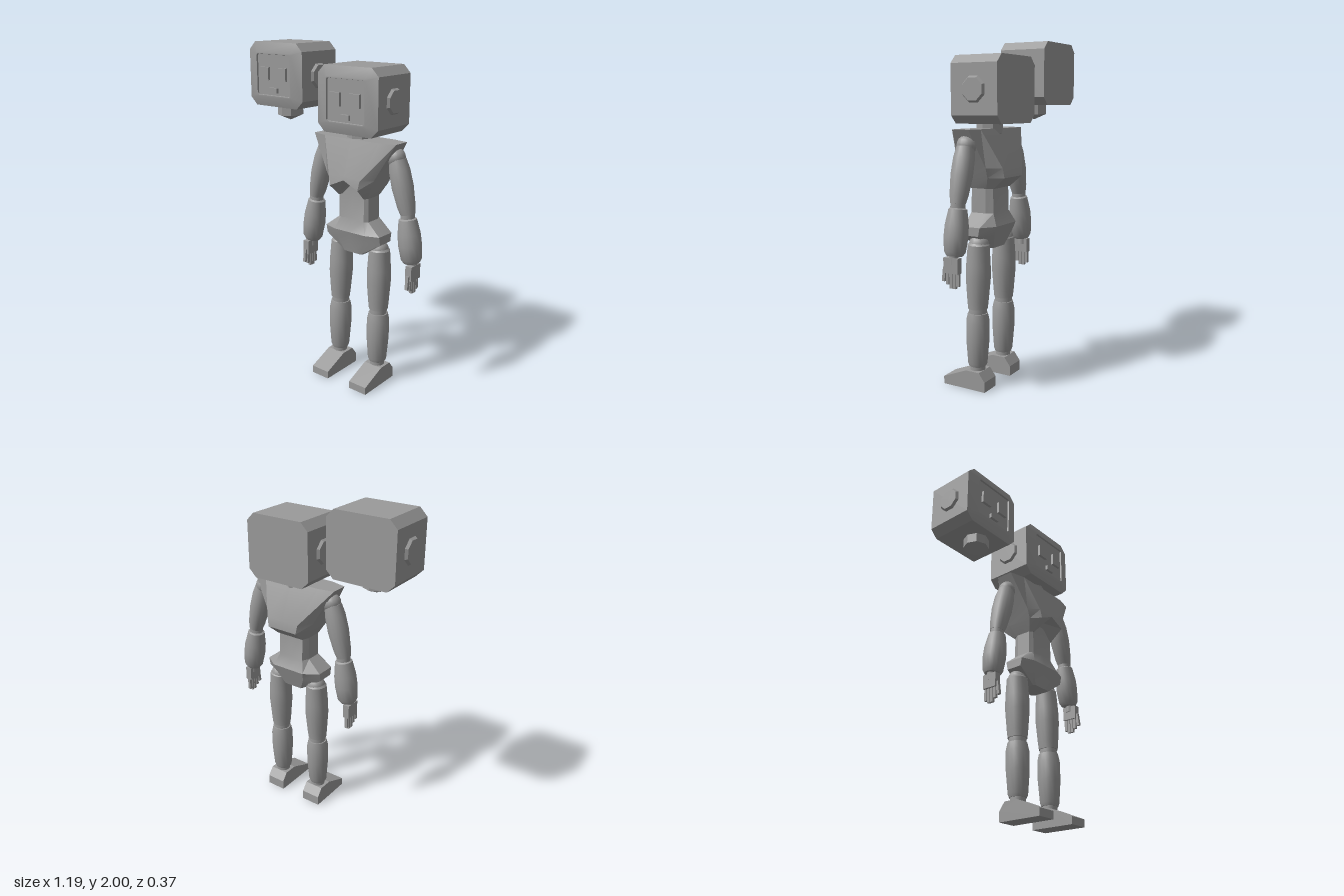
import * as THREE from 'three';
import { toCreasedNormals } from 'three/addons/utils/BufferGeometryUtils.js';

const grey = new THREE.MeshStandardMaterial({ color: 0x9a9a9a });
grey.name = 'grey';

function add(parent, name, geometry, x = 0, y = 0, z = 0) {
  const mesh = new THREE.Mesh(geometry, grey);
  mesh.name = name;
  mesh.position.set(x, y, z);
  parent.add(mesh);
  return mesh;
}

// Skin a stack of equal-length rings and cap both ends.
function loft(rings, crease = 0.4) {
  const n = rings[0].length, pos = [], idx = [];
  rings.forEach(r => r.forEach(p => pos.push(...p)));
  for (let i = 0; i < rings.length - 1; i++) {
    for (let j = 0; j < n; j++) {
      const a = i * n + j, b = i * n + (j + 1) % n;
      idx.push(a, b, b + n, a, b + n, a + n);
    }
  }
  [0, rings.length - 1].forEach((k, end) => {
    const c = [0, 1, 2].map(d => rings[k].reduce((s, p) => s + p[d], 0) / n);
    const ci = pos.length / 3;
    pos.push(...c);
    for (let j = 0; j < n; j++) {
      const a = k * n + j, b = k * n + (j + 1) % n;
      if (end) idx.push(ci, a, b); else idx.push(ci, b, a);
    }
  });
  const g = new THREE.BufferGeometry();
  g.setAttribute('position', new THREE.Float32BufferAttribute(pos, 3));
  g.setIndex(idx);
  return toCreasedNormals(g, crease);
}

// Rectangle with cut corners, standing at depth z.
function cutRect(w, h, c, z) {
  return [[-w + c, -h], [w - c, -h], [w, -h + c], [w, h - c],
    [w - c, h], [-w + c, h], [-w, h - c], [-w, -h + c]].map(([x, y]) => [x, y, z]);
}

// Horizontal body section: half widths, front and back depth, side depth, lift of the front centre.
function section(y, w, wi, front, back, t, lift = 0) {
  return [[0, front, lift], [wi, front], [w, t], [w, -t], [wi, -back], [0, -back],
    [-wi, -back], [-w, -t], [-w, t], [-wi, front]].map(([x, z, l = 0]) => [x, y + l, z]);
}

// Round limb from bottom a to top b; profile is [radius, fraction of length].
function limb(parent, name, a, b, profile) {
  const from = new THREE.Vector3(...a), dir = new THREE.Vector3(...b).sub(from);
  const len = dir.length();
  const pts = profile.map(([r, f]) => new THREE.Vector2(r, f * len));
  const g = toCreasedNormals(new THREE.LatheGeometry(pts, 16), 0.6);
  const mesh = add(parent, name, g, ...a);
  mesh.quaternion.setFromUnitVectors(new THREE.Vector3(0, 1, 0), dir.normalize());
}

function makeHead(name) {
  const head = new THREE.Group();
  head.name = name;
  // casing with a slightly domed front and a shallow face recess
  add(head, 'headCasing', loft([
    cutRect(0.21, 0.187, 0.046, -0.185), cutRect(0.21, 0.187, 0.046, 0.112),
    cutRect(0.14, 0.128, 0.008, 0.134), cutRect(0.132, 0.12, 0.008, 0.134),
    cutRect(0.13, 0.118, 0.008, 0.124)]));
  for (const s of [-1, 1]) {
    add(head, 'eye', new THREE.BoxGeometry(0.07, 0.075, 0.018), s * 0.069, 0.007, 0.131);
    const ear = add(head, 'ear', new THREE.CylinderGeometry(0.066, 0.077, 0.016, 8).toNonIndexed(), s * 0.217, 0, -0.035);
    ear.geometry.rotateY(Math.PI / 8);
    ear.geometry.computeVertexNormals();
    ear.rotation.z = -s * Math.PI / 2;
  }
  add(head, 'mouth', new THREE.BoxGeometry(0.062, 0.03, 0.018), 0, -0.088, 0.131);
  // neck plug with a blunt point
  const plug = [[0, -0.277], [0.077, -0.245], [0.077, -0.18]].map(p => new THREE.Vector2(...p));
  add(head, 'neckPlug', toCreasedNormals(new THREE.LatheGeometry(plug, 8), 0.3), 0, 0, -0.01);
  return head;
}

function makeArm(s) {
  const arm = new THREE.Group();
  arm.name = s > 0 ? 'leftArm' : 'rightArm';
  const d = s > 0 ? 0 : -0.02, z = -0.013;
  add(arm, 'shoulderJoint', new THREE.SphereGeometry(0.056, 16, 10), s * 0.245, 1.41, z);
  limb(arm, 'upperArm', [s * 0.336, 1.1 + d / 2, z], [s * 0.256, 1.4, z],
    [[0, 0], [0.042, 0], [0.052, 0.15], [0.062, 0.5], [0.06, 0.8], [0.05, 1], [0, 1]]);
  limb(arm, 'elbow', [s * 0.336, 1.05 + d / 2, z], [s * 0.334, 1.12 + d / 2, z],
    [[0, 0], [0.04, 0], [0.042, 0.5], [0.04, 1], [0, 1]]);
  limb(arm, 'forearm', [s * 0.372, 0.82 + d, z], [s * 0.334, 1.08 + d / 2, z],
    [[0, 0], [0.045, 0.01], [0.06, 0.1], [0.068, 0.4], [0.066, 0.65], [0.052, 0.97], [0.04, 1], [0, 1]]);
  // hand with thin palm, four fingers and a thumb
  const hand = new THREE.Group();
  hand.name = 'hand';
  hand.position.set(s * 0.384, d, 0);
  arm.add(hand);
  add(hand, 'wrist', new THREE.CylinderGeometry(0.025, 0.025, 0.07, 12), -s * 0.004, 0.815, z);
  add(hand, 'palm', new THREE.BoxGeometry(0.04, 0.085, 0.092), 0, 0.772, -0.007);
  [0.07, 0.09, 0.09, 0.075].forEach((len, i) =>
    add(hand, 'finger', new THREE.BoxGeometry(0.017, len, 0.018), 0, 0.735 - len / 2, 0.022 - i * 0.022));
  const thumb = add(hand, 'thumb', new THREE.BoxGeometry(0.018, 0.08, 0.018), 0, 0.72, 0.045);
  thumb.rotation.x = -0.12;
  return arm;
}

function makeLeg(s) {
  const leg = new THREE.Group();
  leg.name = s > 0 ? 'leftLeg' : 'rightLeg';
  const x = s * 0.141, k = s * 0.145;
  add(leg, 'hipJoint', new THREE.SphereGeometry(0.058, 16, 10), s * 0.138, 0.845, -0.02);
  limb(leg, 'thigh', [k, 0.475, -0.015], [x, 0.86, -0.02],
    [[0, 0], [0.057, 0], [0.062, 0.12], [0.072, 0.45], [0.071, 0.65], [0.063, 0.96], [0.05, 1], [0, 1]]);
  limb(leg, 'knee', [k, 0.43, -0.015], [k, 0.49, -0.015],
    [[0, 0], [0.05, 0], [0.052, 0.5], [0.05, 1], [0, 1]]);
  limb(leg, 'shin', [k, 0.133, -0.012], [k, 0.448, -0.015],
    [[0, 0], [0.05, 0], [0.057, 0.06], [0.068, 0.5], [0.068, 0.85], [0.058, 1], [0, 1]]);
  add(leg, 'ankle', new THREE.CylinderGeometry(0.044, 0.044, 0.05, 16), k, 0.12, -0.012);
  // wedge foot, side outline extruded across
  const outline = [[0.185, 0], [0.185, 0.045], [0.03, 0.11], [-0.057, 0.11], [-0.095, 0.06], [-0.095, 0]];
  const shape = new THREE.Shape(outline.map(p => new THREE.Vector2(...p)));
  const g = new THREE.ExtrudeGeometry(shape, { depth: 0.122, bevelEnabled: false });
  g.translate(0, 0, -0.061).rotateY(-Math.PI / 2);
  add(leg, 'foot', g, k, 0, 0);
  return leg;
}

export function createModel() {
  const model = new THREE.Group();
  model.name = 'robot';
  const body = new THREE.Group();
  body.name = 'body';
  body.position.x = 0.162;
  model.add(body);

  // hips and waist
  add(body, 'hipsAndWaist', loft([
    section(0.815, 0.07, 0.06, 0.055, 0.07, 0.045),
    section(0.9, 0.195, 0.1, 0.075, 0.1, 0.05),
    section(0.95, 0.195, 0.11, 0.09, 0.118, 0.06),
    section(1.02, 0.106, 0.085, 0.062, 0.085, 0.045, 0.01),
    section(1.22, 0.106, 0.085, 0.06, 0.08, 0.045)], 0.45));
  // chest flaring from the ribs to pointed shoulders
  add(body, 'chest', loft([
    section(1.16, 0.106, 0.09, 0.072, 0.09, 0.05, 0.09),
    section(1.225, 0.142, 0.1, 0.143, 0.165, 0.08, 0.045),
    section(1.28, 0.168, 0.11, 0.138, 0.16, 0.085, 0.01),
    section(1.495, 0.289, 0.19, 0.077, 0.068, 0.052)], 0.35));

  for (const s of [-1, 1]) body.add(makeArm(s), makeLeg(s));

  // worn head and a spare one floating beside it
  const head = makeHead('head');
  head.position.y = 1.71;
  body.add(head);
  const spare = makeHead('spareHead');
  spare.position.set(-0.377, 1.813, 0);
  model.add(spare);
  return model;
}
